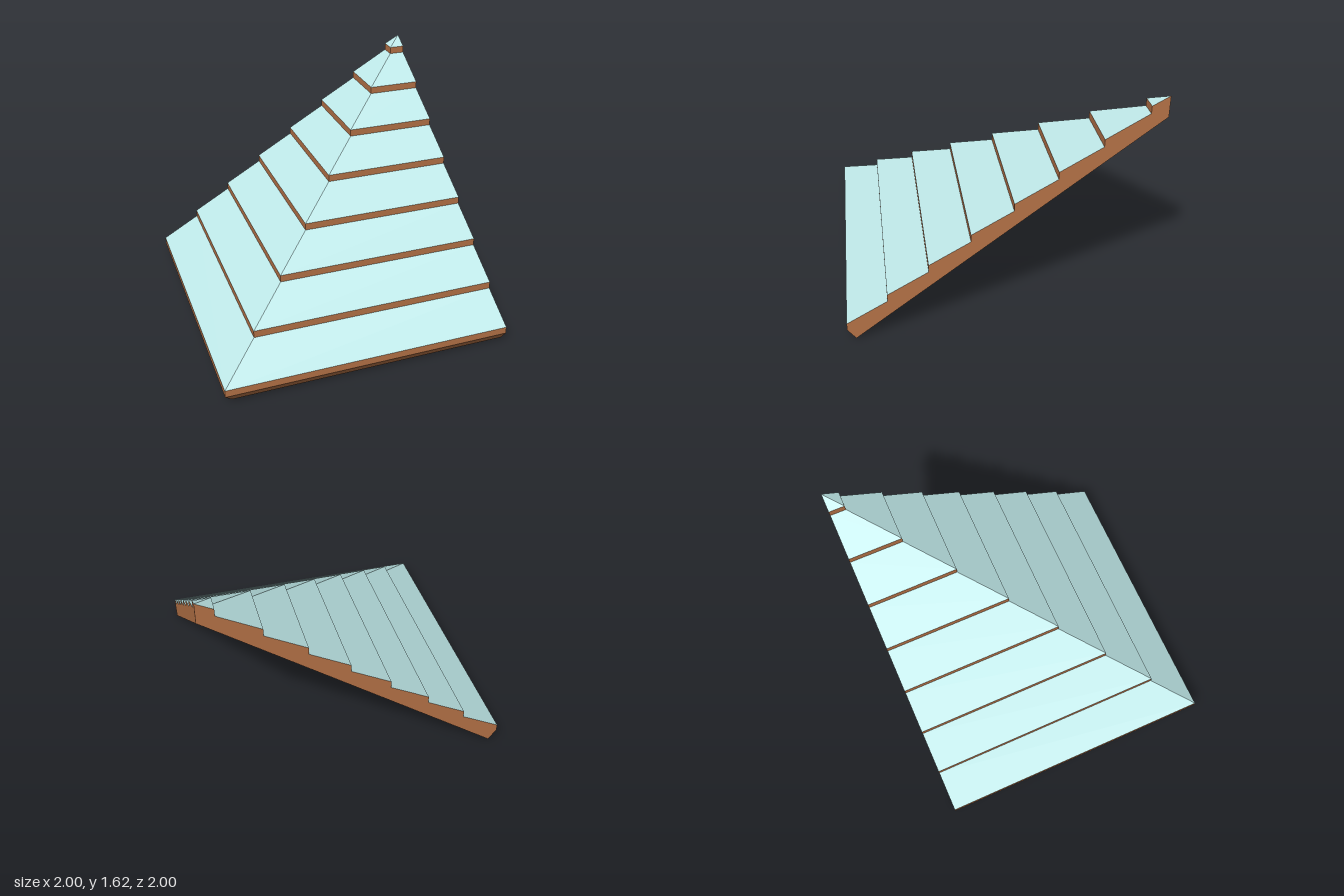
import * as THREE from 'three';

const TREAD = new THREE.MeshStandardMaterial({ color: 0xc0eaea, flatShading: true });
const WOOD = new THREE.MeshStandardMaterial({ color: 0xb87448, flatShading: true });

const COURSES = 8, RUN = 0.27, RISE = 0.205; // spacing of the stepped courses
const LIP_LOW = 0.075, LIP_TOP = 0.125;      // heights of the lowest lip
const TOP = 1.62, UNDER = 1.48, INSET = 0.945;

// Flat convex polygon, corners counter-clockwise seen from its front
function polygon(points) {
  const pos = [];
  for (let i = 1; i < points.length - 1; i++) pos.push(...points[0], ...points[i], ...points[i + 1]);
  const g = new THREE.BufferGeometry();
  g.setAttribute('position', new THREE.Float32BufferAttribute(pos, 3));
  g.computeVertexNormals();
  return g;
}

// Mirror a geometry across the vertical plane through the hip (z = -x)
function mirrorAcrossHip(geometry) {
  const src = geometry.index ? geometry.toNonIndexed() : geometry;
  const p = src.attributes.position;
  const pos = [];
  for (let i = 0; i < p.count; i += 3) {
    for (const k of [i, i + 2, i + 1]) pos.push(-p.getZ(k), p.getY(k), -p.getX(k));
  }
  const g = new THREE.BufferGeometry();
  g.setAttribute('position', new THREE.Float32BufferAttribute(pos, 3));
  g.computeVertexNormals();
  return g;
}

export function createModel() {
  const model = new THREE.Group();
  model.name = 'hipRoofCorner';
  const frontSlope = new THREE.Group();
  frontSlope.name = 'frontSlope';
  const sideSlope = new THREE.Group();
  sideSlope.name = 'sideSlope';
  model.add(frontSlope, sideSlope);

  const add = (parent, name, geometry, material) => {
    const mesh = new THREE.Mesh(geometry, material);
    mesh.name = name;
    parent.add(mesh);
  };
  const addBoth = (name, geometry, material) => {
    add(frontSlope, name, geometry, material);
    add(sideSlope, name, mirrorAcrossHip(geometry), material);
  };

  // Stepped courses: a vertical lip and a sloping panel, both cut at the hip
  const profile = [];
  for (let i = 0; i < COURSES; i++) {
    const t0 = i * RUN, t1 = Math.min(t0 + RUN, 2);
    const y0 = LIP_LOW + i * RISE, y1 = LIP_TOP + i * RISE;
    const y2 = i === COURSES - 1 ? TOP : y0 + RISE;
    const z0 = 1 - t0, z1 = 1 - t1;
    addBoth('lip', polygon([[-z0, y0, z0], [1, y0, z0], [1, y1, z0], [-z0, y1, z0]]), WOOD);
    const panel = [[-z0, y1, z0], [1, y1, z0], [1, y2, z1]];
    if (t1 < 2) panel.push([-z1, y2, z1]);
    addBoth('panel', polygon(panel), TREAD);
    profile.push([t0 - 1, y0], [t0 - 1, y1]);
  }
  profile.push([1, TOP], [1, UNDER], [-INSET, 0]);

  // Stepped cut end
  const end = new THREE.ShapeGeometry(new THREE.Shape(profile.map(([x, y]) => new THREE.Vector2(x, y))));
  end.rotateY(Math.PI / 2).translate(1, 0, 0);
  addBoth('cutEnd', end, WOOD);

  // Bevelled eave below the lowest lip
  addBoth('eaveBevel', polygon([
    [-INSET, 0, INSET], [1, 0, INSET], [1, LIP_LOW, 1], [-1, LIP_LOW, 1],
  ]), WOOD);

  // Flat base and the slanted underside that closes the back
  add(model, 'base', polygon([[-INSET, 0, INSET], [-INSET, 0, -1], [1, 0, INSET]]), WOOD);
  add(model, 'underside', polygon([[1, UNDER, -1], [1, 0, INSET], [-INSET, 0, -1]]), WOOD);

  return model;
}
